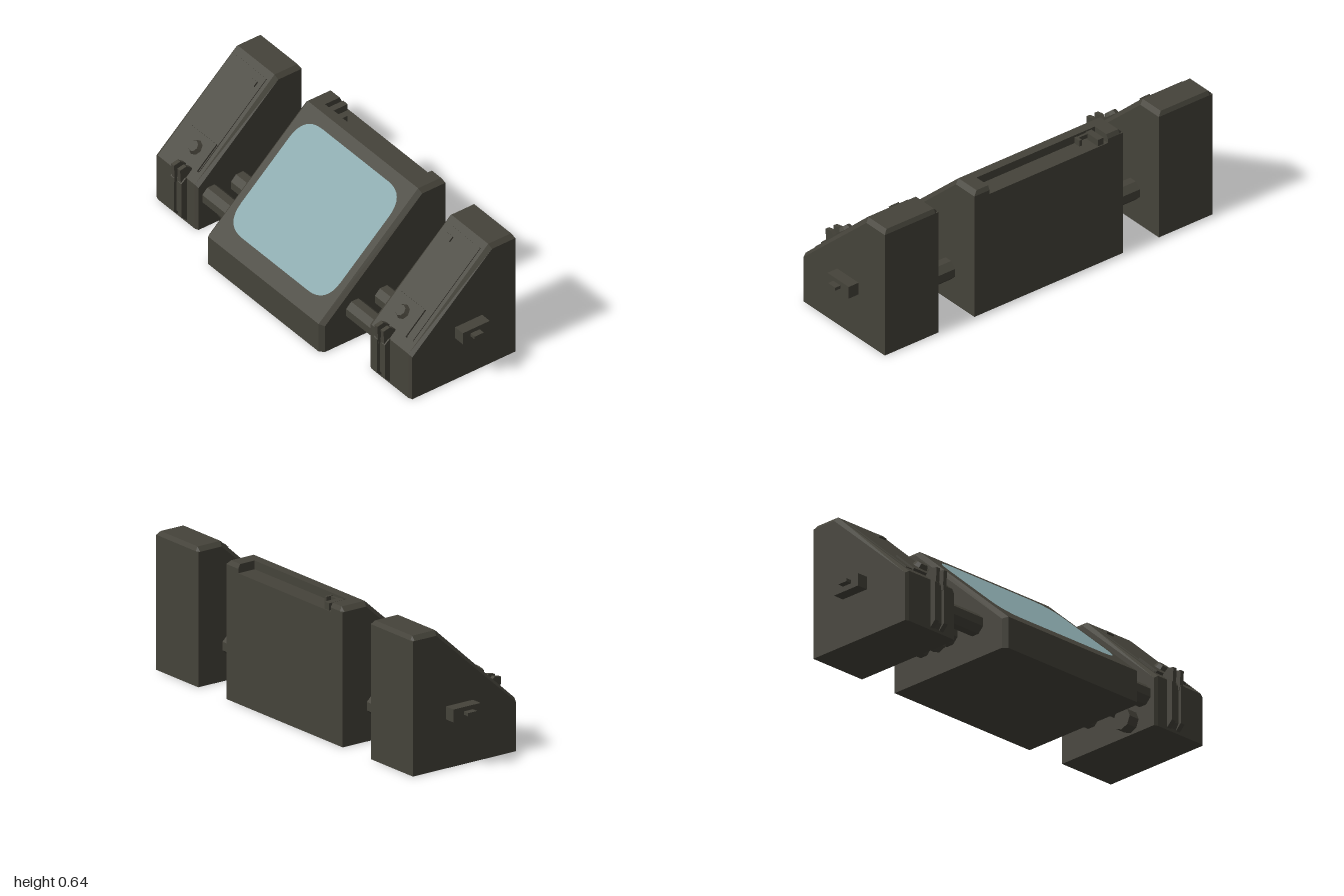
import * as THREE from 'three';

const bodyMat = new THREE.MeshStandardMaterial({ color: 0x45433a });
bodyMat.name = 'dark olive casing';
const screenMat = new THREE.MeshStandardMaterial({ color: 0x86a5a9 });
screenMat.name = 'pale blue screen';

// Skins [z, y] profiles placed at x stations, listed from -x to +x.
function loft(stations) {
  const pos = [];
  const tri = (...pts) => pts.forEach((p) => pos.push(...p));
  const rings = stations.map(([x, prof]) => prof.map(([z, y]) => [x, y, z]));
  const n = rings[0].length;
  for (let s = 0; s < rings.length - 1; s++) {
    for (let i = 0; i < n; i++) {
      const j = (i + 1) % n, p = rings[s], q = rings[s + 1];
      tri(p[i], q[i], q[j]);
      tri(p[i], q[j], p[j]);
    }
  }
  const first = rings[0], last = rings[rings.length - 1];
  for (let i = 1; i < n - 1; i++) {
    tri(first[0], first[i], first[i + 1]);
    tri(last[0], last[i + 1], last[i]);
  }
  const g = new THREE.BufferGeometry();
  g.setAttribute('position', new THREE.Float32BufferAttribute(pos, 3));
  g.computeVertexNormals();
  return g;
}

function add(parent, name, geo, x = 0, y = 0, z = 0, mat = bodyMat) {
  const m = new THREE.Mesh(geo, mat);
  m.name = name;
  m.position.set(x, y, z);
  parent.add(m);
  return m;
}

const box = (w, h, d) => new THREE.BoxGeometry(w, h, d);

// Cylinder with flat facets
function facetCylinder(r0, r1, h, sides) {
  const g = new THREE.CylinderGeometry(r0, r1, h, sides).toNonIndexed();
  g.computeVertexNormals();
  return g;
}

function roundedRect(w, h, r) {
  const s = new THREE.Shape(), x = w / 2, y = h / 2;
  s.moveTo(-x + r, -y);
  s.lineTo(x - r, -y).quadraticCurveTo(x, -y, x, -y + r);
  s.lineTo(x, y - r).quadraticCurveTo(x, y, x - r, y);
  s.lineTo(-x + r, y).quadraticCurveTo(-x, y, -x, y - r);
  s.lineTo(-x, -y + r).quadraticCurveTo(-x, -y, -x + r, -y);
  return new THREE.ShapeGeometry(s, 8);
}

// Group whose local xy plane lies on a sloping face
function slopeGroup(parent, name, x, y, z, tilt) {
  const g = new THREE.Group();
  g.name = name;
  g.position.set(x, y, z);
  g.rotation.x = tilt;
  parent.add(g);
  return g;
}

function buildConsole(root) {
  const g = new THREE.Group();
  g.name = 'mainConsole';
  root.add(g);
  const full = [[0.34, 0], [0.34, 0.15], [-0.205, 0.64], [-0.25, 0.64], [-0.33, 0.64], [-0.34, 0.62], [-0.34, 0]];
  const inset = [[0.32, 0], [0.32, 0.14], [-0.212, 0.62], [-0.25, 0.62], [-0.33, 0.62], [-0.34, 0.62], [-0.34, 0]];
  const notch = [[0.34, 0], [0.34, 0.15], [-0.205, 0.64], [-0.25, 0.64], [-0.25, 0.6], [-0.34, 0.6], [-0.34, 0]];
  add(g, 'consoleCasing', loft([
    [-0.415, inset], [-0.395, full], [-0.33, full], [-0.33, notch],
    [0.33, notch], [0.33, full], [0.395, full], [0.415, inset],
  ]));
  // Screen on the sloping front
  const face = slopeGroup(g, 'screenPanel', 0, 0.405, 0.0565, -Math.atan2(0.545, 0.49));
  add(face, 'screen', roundedRect(0.715, 0.59, 0.12), 0.002, 0, 0.003, screenMat);
  // Latch in the rear notch
  add(g, 'latchPost', box(0.032, 0.035, 0.085), -0.295, 0.615, -0.292);
  add(g, 'latchArm', box(0.065, 0.02, 0.012), -0.248, 0.618, -0.256);
  add(g, 'latchPin', box(0.014, 0.03, 0.035), -0.222, 0.615, -0.268);
}

function buildPod(root, s) {
  const g = new THREE.Group();
  g.name = s > 0 ? 'leftPod' : 'rightPod';
  root.add(g);
  const full = [[0.232, 0], [0.232, 0.24], [-0.205, 0.64], [-0.33, 0.64], [-0.34, 0.62], [-0.34, 0]];
  const inset = [[0.225, 0], [0.225, 0.228], [-0.212, 0.62], [-0.33, 0.62], [-0.34, 0.62], [-0.34, 0]];
  const c = s * 0.765;
  add(g, 'podCasing', loft([[c - 0.15, inset], [c - 0.132, full], [c + 0.132, full], [c + 0.15, inset]]));

  // Clasp plate, button and small catch on the slope
  const face = slopeGroup(g, 'podFace', 0, 0.44, 0.0135, -Math.atan2(0.437, 0.4));
  add(face, 'facePanel', box(0.225, 0.5, 0.006), c, 0.01, 0.001);
  add(face, 'claspPlate', box(0.18, 0.145, 0.02), s * 0.747, -0.172, 0.002);
  const button = add(face, 'claspButton', facetCylinder(0.026, 0.038, 0.026, 8), s * 0.742, -0.165, 0.02);
  button.rotation.x = Math.PI / 2;
  add(face, 'catch', box(0.042, 0.026, 0.02), s * 0.7, 0.212, 0.002);

  // Front strap with two rails and hooked prongs
  const strap = (d) => [[0.225, 0.005], [d, 0.04], [d, 0.222], [0.238, 0.242], [0.22, 0.242], [0.22, 0.005]];
  const hook = [[0.258, 0.2], [0.264, 0.293], [0.229, 0.3], [0.198, 0.277], [0.2, 0.255], [0.225, 0.2]];
  const k = s * 0.728;
  add(g, 'strapWeb', loft([[k - 0.02, strap(0.247)], [k + 0.02, strap(0.247)]]));
  for (const e of [-1, 1]) {
    const r = k + e * 0.027;
    add(g, 'strapRail', loft([[r - 0.012, strap(0.262)], [r + 0.012, strap(0.262)]]));
    const h = k + e * 0.022;
    add(g, 'hookProng', loft([[h - 0.01, hook], [h + 0.01, hook]]));
  }

  // Outer side lug
  add(g, 'sideLug', box(0.06, 0.06, 0.148), s * 0.94, 0.255, -0.084);
  add(g, 'sideLugTip', box(0.04, 0.015, 0.05), s * 0.98, 0.2575, -0.077);

  // Tubes joining the pod to the console
  for (const z of [-0.16, 0, 0.157]) {
    add(g, 'connectingTube', facetCylinder(0.051, 0.051, 0.24, 8), s * 0.515, 0.162, z).rotation.set(Math.PI / 8, 0, Math.PI / 2, 'XYZ');
  }
  add(g, 'lowerStub', facetCylinder(0.051, 0.051, 0.07, 8), s * 0.595, 0.06, 0.08).rotation.z = Math.PI / 2;
}

export function createModel() {
  const root = new THREE.Group();
  root.name = 'controlConsole';
  buildConsole(root);
  for (const s of [-1, 1]) buildPod(root, s);
  return root;
}
